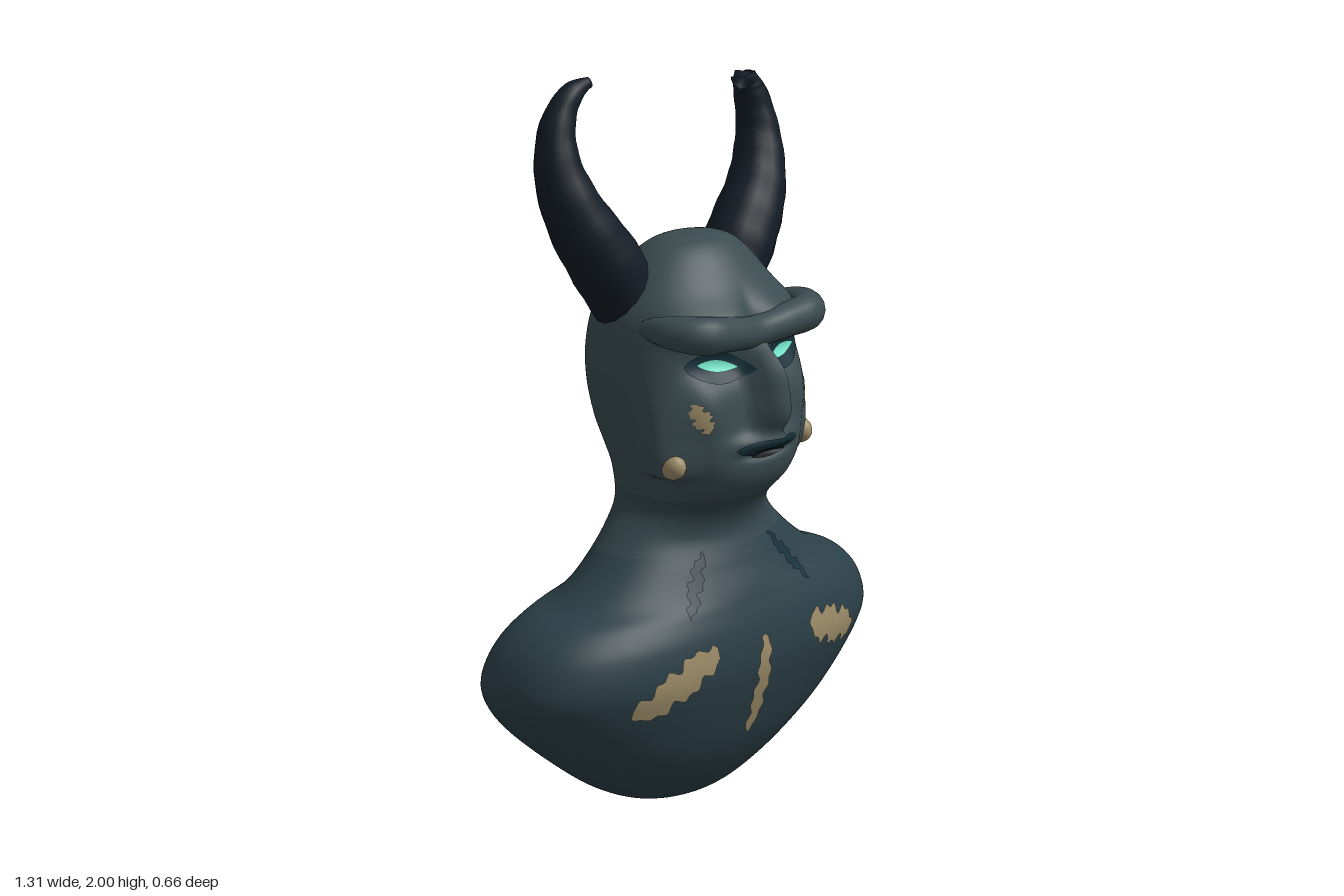
import * as THREE from 'three';

const SKIN = 0x3a4b4f, NECK_SKIN = 0x33454b, BODY = 0x2b3f47, HORN = 0x141c26, GOLD = 0x9c8c68, DARK = 0x15303a, EYE = 0x78e8cc;
const mat = (color, side = THREE.FrontSide) => new THREE.MeshStandardMaterial({ color, side, roughness: 0.8 });
const { smoothstep, lerp } = THREE.MathUtils;

// Cross-sections from base to crown: y, half width, back z, front z, squareness of the front
const ROWS = [
  [0, 0, -0.06, -0.06, 2], [0.02, 0.17, -0.16, 0.03, 2], [0.09, 0.32, -0.237, 0.1, 2.1],
  [0.2, 0.463, -0.3, 0.17, 2.2], [0.31, 0.578, -0.325, 0.212, 2.4], [0.4, 0.642, -0.327, 0.238, 2.5],
  [0.47, 0.65, -0.315, 0.247, 2.6], [0.55, 0.615, -0.292, 0.238, 2.5], [0.61, 0.55, -0.272, 0.22, 2.2],
  [0.655, 0.44, -0.25, 0.203, 2], [0.72, 0.348, -0.228, 0.172, 2], [0.8, 0.268, -0.208, 0.142, 2],
  [0.87, 0.22, -0.207, 0.168, 2.1], [0.95, 0.228, -0.225, 0.238, 2.3], [1.02, 0.248, -0.25, 0.258, 2.5],
  [1.1, 0.268, -0.275, 0.24, 2.7], [1.2, 0.283, -0.29, 0.225, 2.8], [1.3, 0.283, -0.285, 0.205, 2.7],
  [1.4, 0.265, -0.255, 0.18, 2.3], [1.49, 0.21, -0.195, 0.135, 2], [1.55, 0.145, -0.13, 0.085, 2],
  [1.576, 0.085, -0.08, 0.04, 2], [1.585, 0, -0.02, -0.02, 2],
];
const LAST = ROWS.length - 1;

// Smooth interpolation between the rows
function section(t) {
  const i = Math.min(Math.floor(t), LAST - 1), f = t - i;
  const r = k => ROWS[Math.max(0, Math.min(LAST, k))];
  return ROWS[0].map((_, c) => {
    const [a, b, d, e] = [r(i - 1)[c], r(i)[c], r(i + 1)[c], r(i + 2)[c]];
    return b + 0.5 * f * (d - a + f * (2 * a - 5 * b + 4 * d - e + f * (3 * (b - d) + e - a)));
  });
}

// Relief along z: features of the face, and shoulders drawn slightly back
const bell = (v, s, p = 2) => Math.exp(-Math.pow(Math.abs(v / s), p));
function relief(x, y, facing) {
  const ax = Math.abs(x);
  const nose = 0.105 * bell(x, 0.034 + 0.09 * Math.max(0, 1.2 - y)) * bell(y - 1.205, 0.118, 4);
  const socket = -0.03 * bell(ax - 0.125, 0.08) * bell(y - 1.275, 0.045);
  const lips = 0.035 * bell(x, 0.09) * bell(y - 1.068, 0.025) - 0.03 * bell(x, 0.07) * bell(y - 1.035, 0.013);
  const cheek = 0.015 * bell(ax - 0.18, 0.06) * bell(y - 1.15, 0.08);
  const forehead = 0.04 * bell(ax - 0.14, 0.13, 4) * bell(y - 1.385, 0.05);
  const shoulder = -0.07 * x * x * bell(y - 0.45, 0.2, 4);
  return (nose + socket + lips + cheek + forehead) * smoothstep(facing, 0.15, 0.6) + shoulder;
}

// Outward flare of the jaw, ending abruptly below
function jawFlare(edge, y, z) {
  const height = smoothstep(y, 0.965, 1.0) * (1 - smoothstep(y, 1.02, 1.28));
  return 0.05 * smoothstep(edge, 0.7, 0.95) * bell(z - 0.14, 0.09) * height;
}

function loft(t0, t1, rows, cols) {
  const pos = [], idx = [];
  for (let j = 0; j <= rows; j++) {
    const [y, w, zb, zf, front] = section(t0 + (t1 - t0) * j / rows);
    const back = lerp(front, 2, smoothstep(y, 0.8, 1));
    for (let i = 0; i < cols; i++) {
      const a = i / cols * Math.PI * 2, c = Math.cos(a), s = Math.sin(a), n = s < 0 ? back : front;
      const edge = Math.pow(Math.abs(c), 2 / n), x = w * Math.sign(c) * edge;
      const f = Math.sign(s) * Math.pow(Math.abs(s), 2 / n);
      const z = (zb + zf) / 2 + f * (zf - zb) / 2 + relief(x, y, f);
      pos.push(x + Math.sign(c) * jawFlare(edge, y, z), y, z);
      if (j < rows) {
        const p = j * cols + i, q = j * cols + (i + 1) % cols;
        idx.push(p, p + cols, q, q, p + cols, q + cols);
      }
    }
  }
  return buffer(pos, idx);
}

function buffer(pos, idx) {
  const g = new THREE.BufferGeometry();
  g.setAttribute('position', new THREE.Float32BufferAttribute(pos, 3));
  g.setIndex(idx);
  g.computeVertexNormals();
  return g;
}

// Depth of the front surface at x, y
function frontZ(x, y) {
  let lo = 0, hi = LAST;
  for (let k = 0; k < 30; k++) {
    const m = (lo + hi) / 2;
    if (section(m)[0] < y) lo = m; else hi = m;
  }
  const [, w, zb, zf, n] = section(lo);
  const f = Math.pow(Math.max(0, 1 - Math.pow(Math.min(1, Math.abs(x) / w), n)), 1 / n);
  return (zb + zf) / 2 + f * (zf - zb) / 2 + relief(x, y, f);
}

// Thin marking that follows the front surface from a to b
function marking(name, a, b, half, color, { ragged = 0, lift = 0.005, power = 0.6 } = {}) {
  const N = 28, M = 8, pos = [], idx = [];
  const dx = b[0] - a[0], dy = b[1] - a[1], len = Math.hypot(dx, dy);
  for (let i = 0; i <= N; i++) {
    const u = i / N;
    const h = half * Math.pow(Math.max(0, Math.sin(Math.PI * u)), power) * (1 - ragged * (0.5 + 0.5 * Math.sin(i * 1.3)));
    const drift = ragged * half * 0.4 * Math.sin(i * 0.7);
    for (let j = 0; j <= M; j++) {
      const v = (j / M * 2 - 1) * h + drift;
      const x = a[0] + dx * u - dy / len * v, y = a[1] + dy * u + dx / len * v;
      pos.push(x, y, frontZ(x, y) + lift);
      if (i < N && j < M) {
        const p = i * (M + 1) + j, q = p + M + 1;
        idx.push(p, q, p + 1, p + 1, q, q + 1);
      }
    }
  }
  return named(name, buffer(pos, idx), mat(color, THREE.DoubleSide));
}

// Tapered tube with closed ends; points are x, y, z, radius
function taper(points, { segs = 32, sides = 16, ridge = 0, jag = 0 } = {}) {
  const curve = new THREE.CatmullRomCurve3(points.map(p => new THREE.Vector3(p[0], p[1], p[2])));
  const radius = new THREE.SplineCurve(points.map((p, i) => new THREE.Vector2(i, p[3])));
  const { normals, binormals, tangents } = curve.computeFrenetFrames(segs);
  const pos = [], idx = [];
  for (let j = 0; j <= segs; j++) {
    const t = j / segs, c = curve.getPoint(t);
    const r = radius.getPoint(t).y * (1 + ridge * Math.sin(j * 1.6));
    for (let i = 0; i < sides; i++) {
      const a = i / sides * Math.PI * 2;
      const p = c.clone().addScaledVector(normals[j], r * Math.cos(a)).addScaledVector(binormals[j], r * Math.sin(a));
      if (j === segs) p.addScaledVector(tangents[j], jag * Math.sin(i * 0.9));
      pos.push(p.x, p.y, p.z);
      if (j < segs) {
        const m = j * sides + i, n = j * sides + (i + 1) % sides;
        idx.push(m, n, m + sides, n, n + sides, m + sides);
      }
    }
  }
  const s = pos.length / 3, e = segs * sides;
  pos.push(...curve.getPoint(0).toArray(), ...curve.getPoint(1).toArray());
  for (let i = 0; i < sides; i++) {
    const k = (i + 1) % sides;
    idx.push(s, k, i, s + 1, e + i, e + k);
  }
  return buffer(pos, idx);
}

function named(name, geometry, material) {
  const m = new THREE.Mesh(geometry, material);
  m.name = name;
  return m;
}

export function createModel() {
  const g = new THREE.Group();
  g.name = 'hornedBust';
  g.add(named('shouldersAndChest', loft(0, 10.5, 100, 96), mat(BODY)));
  g.add(named('neck', loft(10.5, 12.5, 24, 96), mat(NECK_SKIN)));
  g.add(named('head', loft(12.5, LAST, 150, 160), mat(SKIN)));

  // Heavy brow, dipping in the middle and running back into the temples
  const browHalf = [[0.12, 1.362, 0.216, 0.046], [0.2, 1.37, 0.208, 0.05], [0.245, 1.375, 0.14, 0.042], [0.235, 1.37, 0.03, 0.025]];
  const browRight = browHalf.map(([x, ...r]) => [-x, ...r]).reverse();
  g.add(named('brow', taper([...browRight, [0, 1.348, 0.205, 0.042], ...browHalf], { segs: 64 }), mat(SKIN)));

  // Horns: the right one is whole, the left one is broken at the tip
  const horn = [[0.19, 1.42, -0.07, 0.095], [0.265, 1.535, -0.08, 0.097], [0.345, 1.66, -0.1, 0.082],
    [0.378, 1.79, -0.128, 0.062], [0.358, 1.9, -0.14, 0.046]];
  const rightPath = [...horn, [0.31, 1.97, -0.13, 0.03], [0.268, 1.985, -0.12, 0.014]].map(([x, ...r]) => [-x, ...r]);
  g.add(named('rightHorn', taper(rightPath, { ridge: 0.015 }), mat(HORN)));
  g.add(named('leftHorn', taper([...horn, [0.328, 1.94, -0.135, 0.034]], { ridge: 0.015, jag: 0.014 }), mat(HORN)));

  for (const [side, s] of [['right', -1], ['left', 1]]) {
    // Worn gold on the jaw corner and cheek
    const jaw = named(side + 'JawWear', new THREE.SphereGeometry(1, 24, 16), mat(GOLD));
    jaw.position.set(s * 0.246, 1.025, 0.145);
    jaw.scale.set(0.03, 0.036, 0.042);
    g.add(jaw);
    g.add(marking(side + 'CheekWear', [s * 0.18, 1.11], [s * 0.215, 1.19], 0.025, GOLD, { ragged: 0.4 }));
    // Glowing eye in a dark socket
    g.add(marking(side + 'EyeSocket', [s * 0.035, 1.26], [s * 0.215, 1.28], 0.04, DARK));
    g.add(marking(side + 'Eye', [s * 0.065, 1.266], [s * 0.185, 1.284], 0.016, EYE, { lift: 0.011, power: 0.8 }));
    // Dark scar below the collar
    g.add(marking(side + 'CollarScar', [s * 0.235, 0.615], [s * 0.125, 0.765], 0.022, DARK, { ragged: 0.5 }));
  }
  // Worn gold on the chest
  const worn = { ragged: 0.35, power: 0.35 };
  g.add(marking('rightChestWear', [-0.435, 0.39], [-0.17, 0.53], 0.055, GOLD, worn));
  g.add(marking('leftChestWear', [0.19, 0.51], [0.425, 0.43], 0.058, GOLD, worn));
  g.add(marking('breastboneWear', [0, 0.23], [0.003, 0.53], 0.03, GOLD, worn));

  // Mouth
  g.add(marking('upperLip', [-0.115, 1.055], [0.115, 1.055], 0.026, DARK));
  g.add(marking('mouthOpening', [-0.065, 1.033], [0.065, 1.033], 0.01, 0x060c10, { lift: 0.01 }));
  return g;
}
